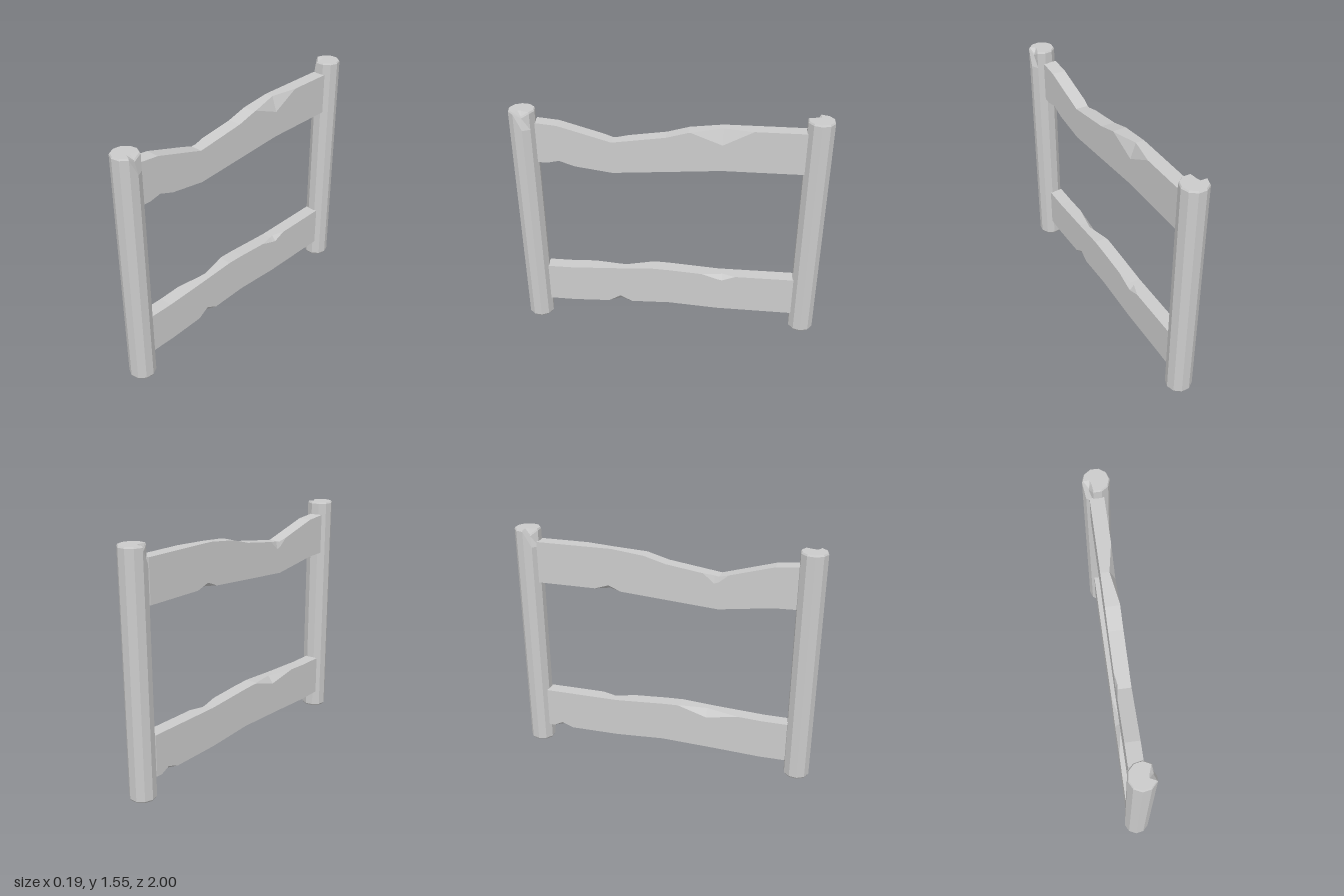
import * as THREE from 'three';

const material = new THREE.MeshStandardMaterial({ color: 0xcccccc, flatShading: true });

// Piecewise linear profile lookup; points are [z, y] with z ascending
function sample(points, z) {
  for (let i = 1; i < points.length; i++) {
    const [z0, y0] = points[i - 1], [z1, y1] = points[i];
    if (z <= z1) return y0 + (y1 - y0) * (z - z0) / (z1 - z0);
  }
  return points[points.length - 1][1];
}

// Ten-sided post with bevelled ends and one chipped column at the top rim
function makePost(name, x, z, turn, chip) {
  const r = 0.085, h = 1.555;
  const profile = [[0, 0], [r - 0.008, 0], [r, 0.012], [r, 1.44], [r, h - 0.01],
    [r - 0.006, h], [r * 0.45, h], [0, h]].map(([a, b]) => new THREE.Vector2(a, b));
  const lathe = new THREE.LatheGeometry(profile, 10, THREE.MathUtils.degToRad(turn));
  const pos = lathe.attributes.position;
  for (const row of [4, 5]) {
    const i = chip.column * profile.length + row;
    pos.setXYZ(i, pos.getX(i) * chip.scale, pos.getY(i) - chip.drop, pos.getZ(i) * chip.scale);
  }
  const geometry = lathe.toNonIndexed();
  geometry.computeVertexNormals();
  const mesh = new THREE.Mesh(geometry, material);
  mesh.name = name;
  mesh.position.set(x, 0, z);
  return mesh;
}

// Warped plank lofted along z; each chip cuts one long edge between z0 and z1, deepest at zm
function makeRail(name, top, bottom, chips) {
  const xL = 0.03, xR = -0.06;
  const stations = [...new Set([...top, ...bottom].map(p => p[0])
    .concat(chips.flatMap(c => [c.z0, c.zm, c.z1])))].sort((a, b) => a - b);

  const rings = stations.map(z => {
    // Two points per corner, apart only where a chip is cut
    const corner = (sx, sy) => {
      const x = sx > 0 ? xL : xR, y = sample(sy > 0 ? top : bottom, z);
      let dx = 0, dy = 0;
      for (const c of chips) {
        if (c.sx !== sx || c.sy !== sy || z <= c.z0 || z >= c.z1) continue;
        const t = z < c.zm ? (z - c.z0) / (c.zm - c.z0) : (c.z1 - z) / (c.z1 - c.zm);
        dx = c.dx * t;
        dy = c.dy * t;
      }
      const onSide = [x, y - sy * dy, z], onFace = [x - sx * dx, y, z];
      return sx * sy > 0 ? [onSide, onFace] : [onFace, onSide];
    };
    return [...corner(1, -1), ...corner(1, 1), ...corner(-1, 1), ...corner(-1, -1)];
  });

  const verts = [];
  const same = (p, q) => p.every((v, i) => Math.abs(v - q[i]) < 1e-6);
  const tri = (a, b, c) => {
    if (!same(a, b) && !same(b, c) && !same(a, c)) verts.push(...a, ...b, ...c);
  };
  for (let i = 0; i < rings.length - 1; i++) {
    for (let k = 0; k < 8; k++) {
      const n = (k + 1) % 8, A = rings[i], B = rings[i + 1];
      tri(A[k], A[n], B[n]);
      tri(A[k], B[n], B[k]);
    }
  }
  const first = rings[0], last = rings[rings.length - 1];
  for (let k = 1; k < 7; k++) {
    tri(last[0], last[k], last[k + 1]);
    tri(first[0], first[k + 1], first[k]);
  }
  const geometry = new THREE.BufferGeometry();
  geometry.setAttribute('position', new THREE.Float32BufferAttribute(verts, 3));
  geometry.computeVertexNormals();
  const mesh = new THREE.Mesh(geometry, material);
  mesh.name = name;
  return mesh;
}

export function createModel() {
  const group = new THREE.Group();
  group.name = 'fenceSection';

  // Posts
  group.add(makePost('frontPost', 0.007, 0.915, -8, { column: 3, scale: 0.76, drop: 0.03 }));
  group.add(makePost('backPost', -0.01, -0.915, 18, { column: 8, scale: 0.72, drop: 0.035 }));

  // Upper rail, sagging toward the front
  group.add(makeRail('upperRail',
    [[-0.84, 1.475], [-0.33, 1.475], [-0.12, 1.45], [0.02, 1.41], [0.36, 1.36], [0.7, 1.457], [0.84, 1.47]],
    [[-0.84, 1.2], [-0.33, 1.2], [0, 1.175], [0.36, 1.148], [0.7, 1.195], [0.84, 1.2]],
    [
      { sx: 1, sy: 1, z0: -0.52, zm: -0.33, z1: -0.13, dx: 0.035, dy: 0.1 },
      { sx: 1, sy: -1, z0: 0.6, zm: 0.7, z1: 0.78, dx: 0.05, dy: 0.02 },
      { sx: -1, sy: 1, z0: 0.26, zm: 0.33, z1: 0.42, dx: 0.012, dy: 0.05 },
      { sx: -1, sy: -1, z0: -0.45, zm: -0.36, z1: -0.28, dx: 0.04, dy: 0.03 },
    ]));

  // Lower rail, slightly arched
  group.add(makeRail('lowerRail',
    [[-0.84, 0.397], [-0.33, 0.397], [0, 0.42], [0.12, 0.425], [0.36, 0.41], [0.67, 0.395], [0.84, 0.395]],
    [[-0.84, 0.122], [-0.33, 0.126], [0, 0.147], [0.36, 0.135], [0.67, 0.122], [0.84, 0.124]],
    [
      { sx: 1, sy: 1, z0: -0.45, zm: -0.36, z1: -0.22, dx: 0.03, dy: 0.035 },
      { sx: 1, sy: -1, z0: 0.26, zm: 0.34, z1: 0.42, dx: 0.04, dy: 0.045 },
      { sx: -1, sy: 1, z0: 0.1, zm: 0.3, z1: 0.52, dx: 0.04, dy: 0.05 },
      { sx: -1, sy: -1, z0: -0.8, zm: -0.74, z1: -0.66, dx: 0.04, dy: 0.03 },
    ]));

  return group;
}
